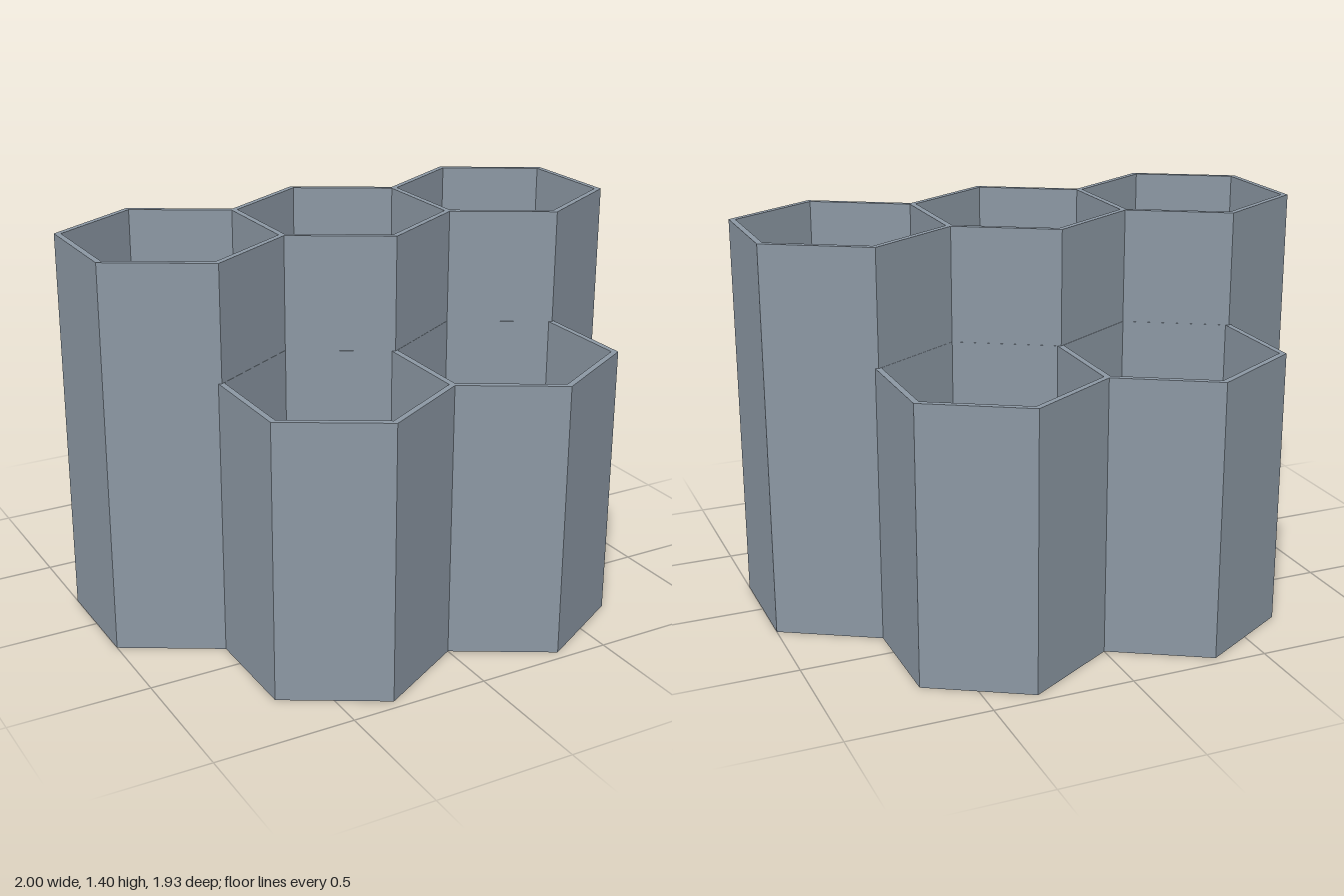
import * as THREE from 'three';

const SPACING = 0.66;            // distance between neighbouring cell centres
const TO_CORNER = 2 / Math.sqrt(3); // flat-to-centre -> corner-to-centre
const OUTER = 0.34 * TO_CORNER;
const INNER = 0.319 * TO_CORNER;
const FLOOR = 0.02;

// Open hexagonal cup with a thin wall and floor, corners pointing along z
function hexCup(height) {
  const profile = [
    [0, 0], [OUTER, 0], [OUTER, height], [INNER, height], [INNER, FLOOR], [0, FLOOR],
  ].map(([r, y]) => new THREE.Vector2(r, y));
  const geometry = new THREE.LatheGeometry(profile, 6).toNonIndexed();
  geometry.computeVertexNormals(); // flat facets
  return geometry;
}

export function createModel() {
  const group = new THREE.Group();
  group.name = 'honeycombOrganizer';

  const slate = new THREE.MeshStandardMaterial({ color: 0x8c98a4 });
  slate.name = 'slateGrey';

  const tall = hexCup(1.4);
  const low = hexCup(0.99);
  const rowStep = SPACING * Math.sqrt(3) / 2;

  // Three tall cups in the middle, two low cups in front and behind
  const rows = [
    { name: 'backCup', geometry: low, z: -rowStep, xs: [-0.5, 0.5] },
    { name: 'middleCup', geometry: tall, z: 0, xs: [-1, 0, 1] },
    { name: 'frontCup', geometry: low, z: rowStep, xs: [-0.5, 0.5] },
  ];
  for (const { name, geometry, z, xs } of rows) {
    for (const x of xs) {
      const cup = new THREE.Mesh(geometry, slate);
      cup.name = name + (x < 0 ? 'Right' : x > 0 ? 'Left' : 'Centre');
      cup.position.set(x * SPACING, 0, z);
      group.add(cup);
    }
  }
  return group;
}
